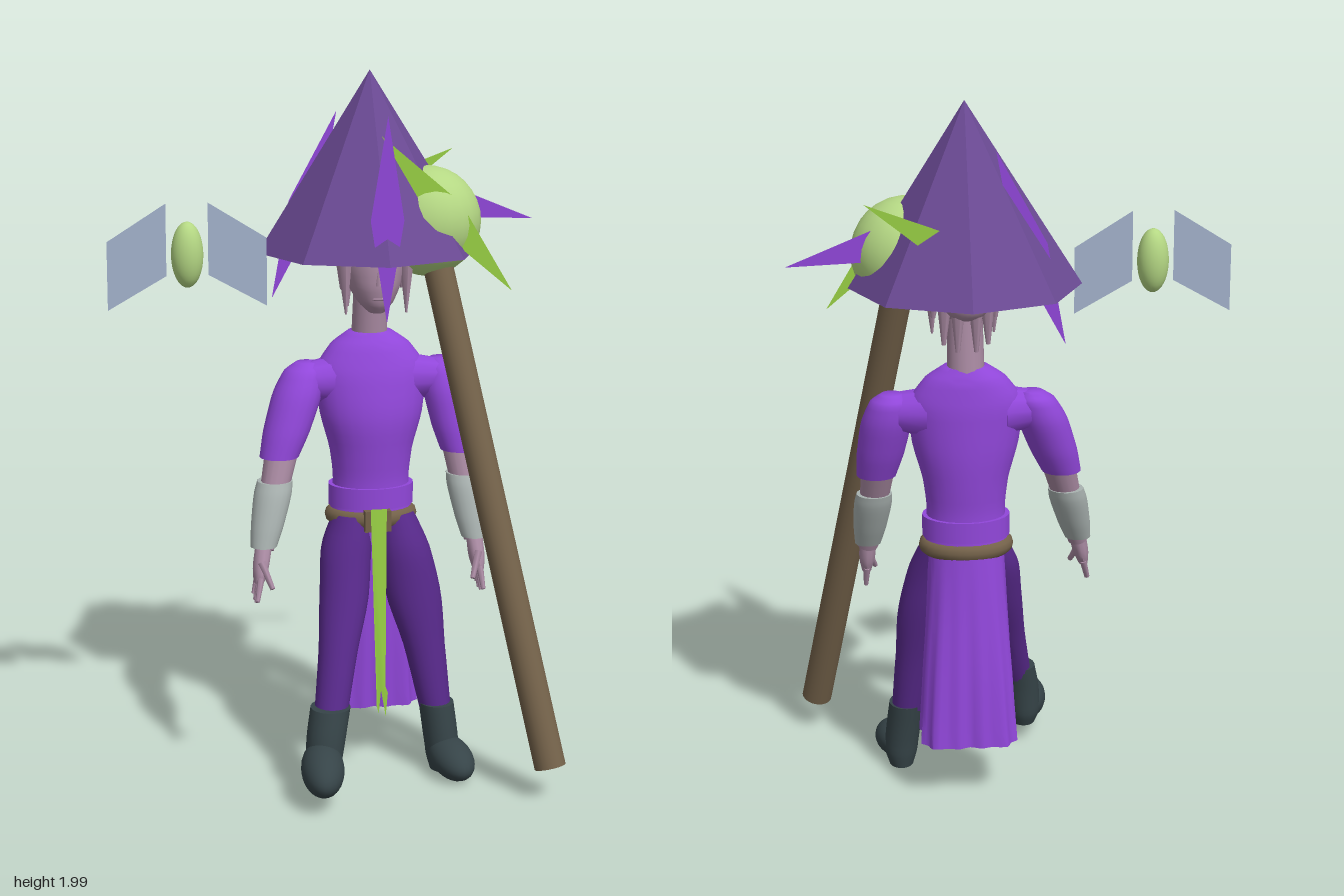
import * as THREE from 'three';
import { toCreasedNormals } from 'three/addons/utils/BufferGeometryUtils.js';

const V = (x, y, z) => new THREE.Vector3(x, y, z);
const CX = 0.127; // body centre line

function material(name, color, extra = {}) {
  const m = new THREE.MeshStandardMaterial({ color, ...extra });
  m.name = name;
  return m;
}

// Horizontal elliptical sections [x, y, z, rx, rz], listed top down, smoothed and capped.
function loft(sections, { sides = 20, steps = 4, shape = () => 1 } = {}) {
  const centres = new THREE.CatmullRomCurve3(sections.map(s => V(s[0], s[1], s[2])));
  const radii = new THREE.CatmullRomCurve3(sections.map(s => V(s[3], s[4], 0)));
  const rings = (sections.length - 1) * steps;
  const pos = [], idx = [];
  for (let j = 0; j <= rings; j++) {
    const t = j / rings, c = centres.getPoint(t), r = radii.getPoint(t);
    for (let i = 0; i < sides; i++) {
      const a = i / sides * Math.PI * 2, k = shape(a, t);
      pos.push(c.x + Math.cos(a) * r.x * k, c.y, c.z + Math.sin(a) * r.y * k);
    }
  }
  for (let j = 0; j < rings; j++) for (let i = 0; i < sides; i++) {
    const n = (i + 1) % sides, a = j * sides + i, b = j * sides + n;
    idx.push(a, b, a + sides, b, b + sides, a + sides);
  }
  const top = pos.length / 3, base = rings * sides;
  pos.push(...centres.getPoint(0).toArray(), ...centres.getPoint(1).toArray());
  for (let i = 0; i < sides; i++) {
    const n = (i + 1) % sides;
    idx.push(top, n, i, top + 1, base + i, base + n);
  }
  const g = new THREE.BufferGeometry();
  g.setAttribute('position', new THREE.Float32BufferAttribute(pos, 3));
  g.setIndex(idx);
  return toCreasedNormals(g, 0.9);
}

// Tapered rod between two points
function rod(a, b, ra, rb, sides = 12) {
  const d = b.clone().sub(a);
  const g = new THREE.CylinderGeometry(rb, ra, d.length(), sides);
  g.applyQuaternion(new THREE.Quaternion().setFromUnitVectors(V(0, 1, 0), d.normalize()));
  const m = a.clone().add(b).multiplyScalar(0.5);
  return g.translate(m.x, m.y, m.z);
}

function ellipsoid(x, y, z, rx, ry, rz, pitch = 0, yaw = 0) {
  return new THREE.SphereGeometry(1, 24, 16).scale(rx, ry, rz)
    .rotateX(pitch).rotateY(yaw).translate(x, y, z);
}

function plate(points, z) {
  return new THREE.ShapeGeometry(new THREE.Shape(points.map(p => new THREE.Vector2(...p)))).translate(0, 0, z);
}

// Kite-shaped blade from one tip to the other
function kite([ax, ay], [bx, by], half, z) {
  const dx = bx - ax, dy = by - ay, l = Math.hypot(dx, dy);
  const mx = (ax + bx) / 2, my = (ay + by) / 2, nx = -dy / l * half, ny = dx / l * half;
  return plate([[ax, ay], [mx - nx, my - ny], [bx, by], [mx + nx, my + ny]], z);
}

export function createModel() {
  const root = new THREE.Group();
  const both = { side: THREE.DoubleSide };
  const hatMat = material('hat purple', 0x6b4a94, { flatShading: true });
  const robe = material('robe violet', 0x9147da, both);
  const trousers = material('trouser purple', 0x57298a);
  const leather = material('boot slate', 0x364448);
  const wood = material('wood brown', 0x74624a);
  const orb = material('orb green', 0xb5d884);
  const lime = material('lime', 0x98cf44, both);
  const skin = material('skin mauve', 0xa98aa2);
  const cloth = material('cuff grey', 0xa9b2b0);
  const glass = material('wing blue', 0xa3b2cc, both);

  const add = (name, geometry, mat, parent = root) => {
    const m = new THREE.Mesh(geometry, mat);
    m.name = name;
    parent.add(m);
    return m;
  };
  const group = name => {
    const g = new THREE.Group();
    g.name = name;
    root.add(g);
    return g;
  };

  // Hat
  add('hat', new THREE.ConeGeometry(1, 0.5, 8).scale(0.315, 1, 0.297).translate(CX, 1.75, -0.107), hatMat);

  // Head, neck and hair
  const head = group('head');
  add('skull', loft([[CX, 1.56, -0.06, 0.08, 0.1], [CX, 1.48, -0.06, 0.088, 0.11],
    [CX, 1.42, -0.04, 0.075, 0.095], [CX, 1.37, -0.015, 0.048, 0.062], [CX, 1.345, 0, 0.022, 0.03]]), skin, head);
  add('neck', rod(V(CX, 1.24, -0.1), V(CX, 1.44, -0.08), 0.052, 0.047, 16), skin, head);
  add('nose', rod(V(CX, 1.425, 0.05), V(CX, 1.48, 0.045), 0.014, 0.005, 6), skin, head);
  add('mouth', ellipsoid(CX, 1.388, 0.044, 0.022, 0.006, 0.008), skin, head);
  add('hairKnot', ellipsoid(CX, 1.47, -0.155, 0.065, 0.055, 0.045), skin, head);
  for (const s of [-1, 1]) {
    add('sideLock', rod(V(CX + s * 0.085, 1.34, 0.0), V(CX + s * 0.088, 1.52, -0.01), 0.003, 0.026, 7), skin, head);
    for (const [x, z, y] of [[0.085, -0.06, 1.4], [0.06, -0.12, 1.34], [0.025, -0.16, 1.33]])
      add('hairLock', rod(V(CX + s * x, y, z), V(CX + s * x * 0.95, 1.52, z), 0.006, 0.028, 7), skin, head);
  }

  // Torso with belt
  add('torso', loft([[CX, 1.275, -0.095, 0.062, 0.05], [CX, 1.24, -0.09, 0.112, 0.07], [CX, 1.16, -0.08, 0.158, 0.09],
    [CX, 1.05, -0.07, 0.147, 0.1], [CX, 0.94, -0.07, 0.118, 0.093], [CX, 0.85, -0.07, 0.109, 0.085],
    [CX, 0.76, -0.07, 0.118, 0.09]], { sides: 24 }), robe);
  add('waistBand', new THREE.CylinderGeometry(1, 1, 0.06, 24).scale(0.122, 1, 0.094).translate(CX, 0.81, -0.07), robe);
  add('belt', new THREE.TorusGeometry(1, 0.18, 10, 32).rotateX(Math.PI / 2)
    .scale(0.112, 0.13, 0.086).translate(CX, 0.75, -0.068), wood);
  add('buckle', new THREE.BoxGeometry(0.075, 0.06, 0.03).translate(CX, 0.752, 0.03), wood);

  // Pleated coat skirt with a squared, widening hem
  add('skirt', loft([[CX, 0.75, -0.075, 0.105, 0.088], [CX, 0.58, -0.085, 0.118, 0.095],
    [CX, 0.38, -0.095, 0.135, 0.105], [CX, 0.18, -0.105, 0.148, 0.11]], {
    sides: 64,
    shape: (a, t) => (1 - t * 0.12 * Math.cos(4 * a)) * (1 - 0.04 * t + 0.05 * t * Math.cos(14 * a)),
  }), robe);

  // Forked ribbon
  const ribbon = plate([[-0.023, 0.79], [-0.012, 0.22], [-0.022, 0.25], [-0.006, 0.2],
    [0, 0.27], [0.014, 0.19], [0.02, 0.26], [0.013, 0.28], [0.023, 0.79]], 0);
  const rp = ribbon.attributes.position;
  for (let i = 0; i < rp.count; i++) rp.setZ(i, rp.getY(i) > 0.5 ? 0.05 : 0.095);
  ribbon.computeVertexNormals();
  add('ribbon', ribbon.translate(CX, 0, 0), lime);

  // Legs and boots; each stride differs
  const rightLeg = group('rightLeg'), leftLeg = group('leftLeg');
  add('trouserLeg', loft([[0.065, 0.76, -0.045, 0.05, 0.065], [0.045, 0.66, -0.01, 0.072, 0.075],
    [0.03, 0.54, 0.04, 0.07, 0.072], [0.0, 0.4, 0.11, 0.055, 0.06], [-0.035, 0.23, 0.185, 0.046, 0.05]]), trousers, rightLeg);
  add('bootShaft', loft([[-0.035, 0.265, 0.185, 0.056, 0.06], [-0.05, 0.19, 0.205, 0.055, 0.06],
    [-0.06, 0.11, 0.215, 0.05, 0.06], [-0.06, 0.07, 0.215, 0.035, 0.045]]), leather, rightLeg);
  add('bootFoot', ellipsoid(-0.073, 0.117, 0.275, 0.06, 0.062, 0.118, 0.15, -0.12), leather, rightLeg);
  add('trouserLeg', loft([[0.195, 0.76, -0.045, 0.05, 0.06], [0.215, 0.66, -0.012, 0.072, 0.068],
    [0.235, 0.54, 0.005, 0.08, 0.066], [0.265, 0.38, 0.03, 0.06, 0.056], [0.295, 0.18, 0.06, 0.044, 0.05]]), trousers, leftLeg);
  add('bootShaft', loft([[0.295, 0.215, 0.06, 0.05, 0.06], [0.305, 0.13, 0.07, 0.05, 0.058],
    [0.312, 0.06, 0.075, 0.048, 0.056], [0.312, 0.015, 0.072, 0.035, 0.045]]), leather, leftLeg);
  add('bootFoot', ellipsoid(0.325, 0.068, 0.135, 0.059, 0.052, 0.105, 0.14, 0.15), leather, leftLeg);

  // Arms: puffed sleeve, forearm, cuff and hand
  const arms = [
    ['rightArm', -1, V(-0.075, 1.14, -0.065), V(-0.145, 0.94, -0.015), V(-0.205, 0.7, 0.075), V(-0.235, 0.56, 0.125)],
    ['leftArm', 1, V(0.338, 1.14, -0.065), V(0.372, 0.94, -0.015), V(0.398, 0.7, 0.075), V(0.405, 0.56, 0.12)],
  ];
  for (const [name, s, shoulder, elbow, wrist, tip] of arms) {
    const arm = group(name);
    const ring = (a, b, t, r) => [...a.clone().lerp(b, t).toArray(), r, r];
    add('sleeve', loft([ring(shoulder, elbow, -0.27, 0.03), ring(shoulder, elbow, -0.15, 0.056),
      ring(shoulder, elbow, 0.2, 0.07), ring(shoulder, elbow, 0.65, 0.066), ring(shoulder, elbow, 1, 0.055)]), robe, arm);
    add('shoulderJoint', rod(V(CX + s * 0.1, 1.14, -0.08), shoulder, 0.07, 0.05), robe, arm);
    add('forearm', rod(elbow.clone().lerp(shoulder, 0.2), wrist, 0.048, 0.03, 16), skin, arm);
    add('cuff', loft([ring(elbow, wrist, 0.26, 0.05), ring(elbow, wrist, 0.4, 0.053),
      ring(elbow, wrist, 0.75, 0.046), ring(elbow, wrist, 0.97, 0.037)]), cloth, arm);
    const palm = wrist.clone().lerp(tip, 0.35);
    add('palm', loft([ring(wrist, tip, -0.1, 0.024), [palm.x, palm.y, palm.z, 0.022, 0.038],
      [...wrist.clone().lerp(tip, 0.6).toArray(), 0.014, 0.036]], { sides: 12 }), skin, arm);
    for (let i = 0; i < 4; i++) {
      const z = (i - 1.5) * 0.02;
      add('finger', rod(wrist.clone().lerp(tip, 0.5).add(V(0, 0, z)),
        tip.clone().add(V(0, Math.abs(i - 1.5) * 0.01, z * 1.3)), 0.01, 0.006, 6), skin, arm);
    }
    add('thumb', rod(palm.clone().add(V(0, 0.02, 0.02)), palm.clone().add(V(-s * 0.025, -0.045, 0.06)), 0.012, 0.007, 6), skin, arm);
  }

  // Staff and its orb
  add('staff', rod(V(0.555, 0.11, 0.355), V(0.288, 1.56, -0.05), 0.044, 0.042, 20), wood);
  add('staffOrb', ellipsoid(0.28, 1.585, -0.065, 0.153, 0.153, 0.15), orb);

  // Flat blades around the hat
  add('frontBlade', kite([CX, 1.9], [CX, 1.34], 0.046, 0.148), robe);
  add('sideBlade', kite([0.607, 1.57], [0.11, 1.68], 0.045, -0.147), robe);
  add('backBlade', kite([0.05, 1.88], [-0.135, 1.355], 0.045, -0.195), robe);
  add('orbBlade', kite([0.13, 1.835], [0.5, 1.4], 0.048, 0.05), lime);
  add('rearBlade', kite([0.4, 1.76], [-0.09, 1.485], 0.045, -0.263), lime);

  // Floating winged spirit
  const spirit = group('wingedSpirit');
  add('spiritBody', ellipsoid(-0.4, 1.525, 0.03, 0.044, 0.09, 0.044), orb, spirit);
  for (const s of [-1, 1])
    add('wing', plate([[0.057, 1.665], [0.057, 1.468], [0.217, 1.378], [0.217, 1.565]]
      .map(([x, y]) => [-0.4 + s * x, y]), 0.03), glass, spirit);

  return root;
}
